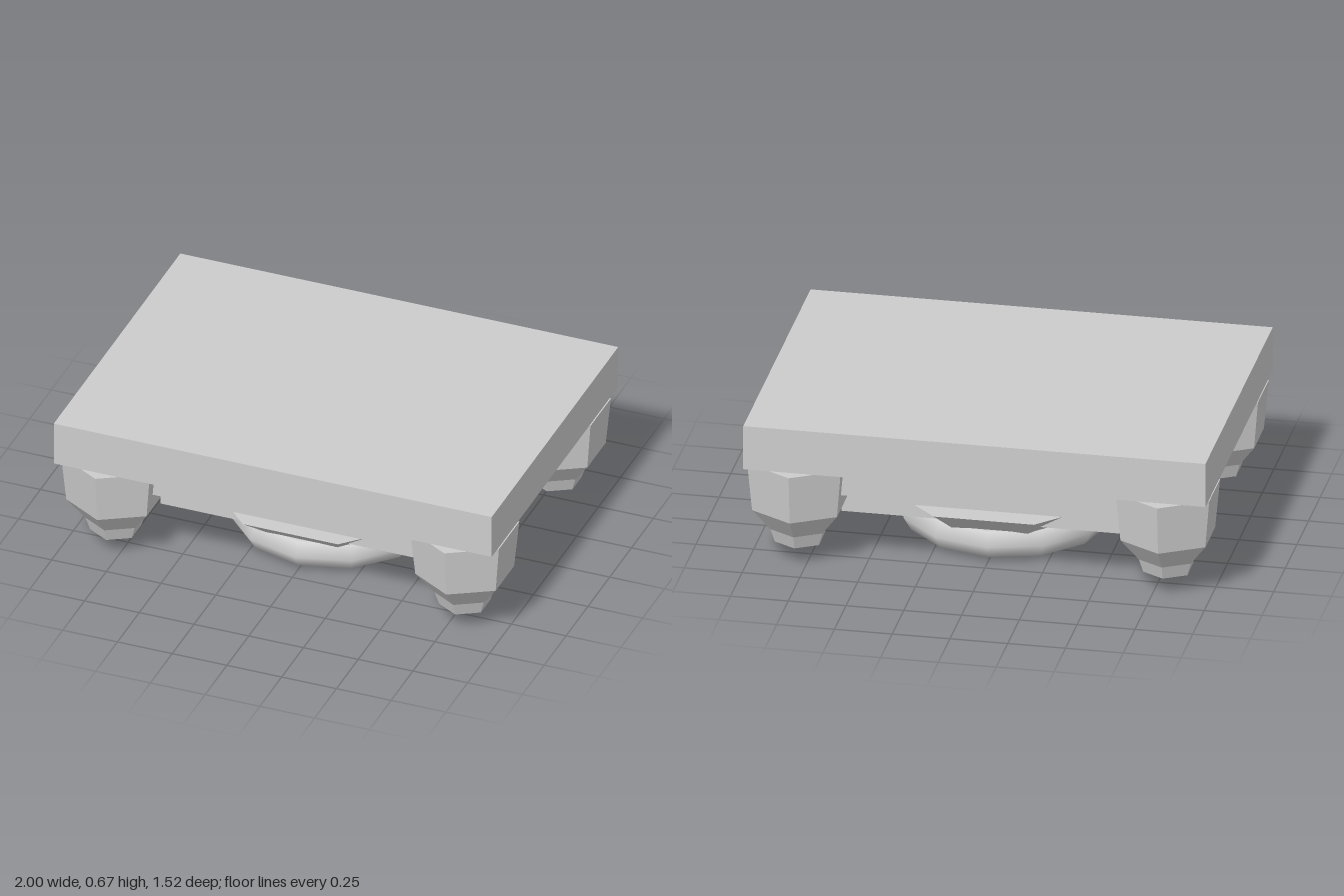
import * as THREE from 'three';

const grey = new THREE.MeshStandardMaterial({ color: 0xcccccc });
grey.name = 'stone grey';

function part(name, geometry, x = 0, y = 0, z = 0) {
  const mesh = new THREE.Mesh(geometry, grey);
  mesh.name = name;
  mesh.position.set(x, y, z);
  return mesh;
}

// Faceted solid turned from [radius, y] points, listed bottom to top
function faceted(profile, sides) {
  const points = profile.map(([r, y]) => new THREE.Vector2(r, y));
  const geometry = new THREE.LatheGeometry(points, sides).toNonIndexed();
  geometry.computeVertexNormals();
  return geometry;
}

function slab(name, width, depth, bottom, top) {
  return part(name, new THREE.BoxGeometry(width, top - bottom, depth), 0, (bottom + top) / 2, 0);
}

export function createModel() {
  const model = new THREE.Group();
  model.name = 'platform';

  // Stepped platform
  model.add(
    slab('topSlab', 2, 1.45, 0.47, 0.67),
    slab('middleTier', 1.68, 1.16, 0.32, 0.47),
    slab('lowerTier', 1.27, 0.84, 0.175, 0.32),
  );

  // Four tapering hexagonal feet
  const foot = faceted([[0, 0.08], [0.11, 0.08], [0.13, 0.14], [0.212, 0.24], [0.234, 0.46], [0, 0.46]], 6);
  for (const [sx, xName] of [[1, 'Left'], [-1, 'Right']]) {
    for (const [sz, zName] of [[1, 'front'], [-1, 'back']]) {
      model.add(part(zName + xName + 'Foot', foot, sx * 0.797, 0, sz * 0.525));
    }
  }

  // Octagonal nozzle under the centre, one flat side facing front
  const nozzle = part('nozzle', faceted([[0, 0], [0.256, 0], [0.566, 0.23], [0, 0.23]], 8));
  nozzle.rotation.y = Math.PI / 8;
  model.add(nozzle);

  // Smooth ring around the nozzle
  const ring = part('ring', new THREE.TorusGeometry(0.4, 0.067, 6, 12), 0, 0.08, 0);
  ring.rotation.x = Math.PI / 2;
  model.add(ring);

  return model;
}
